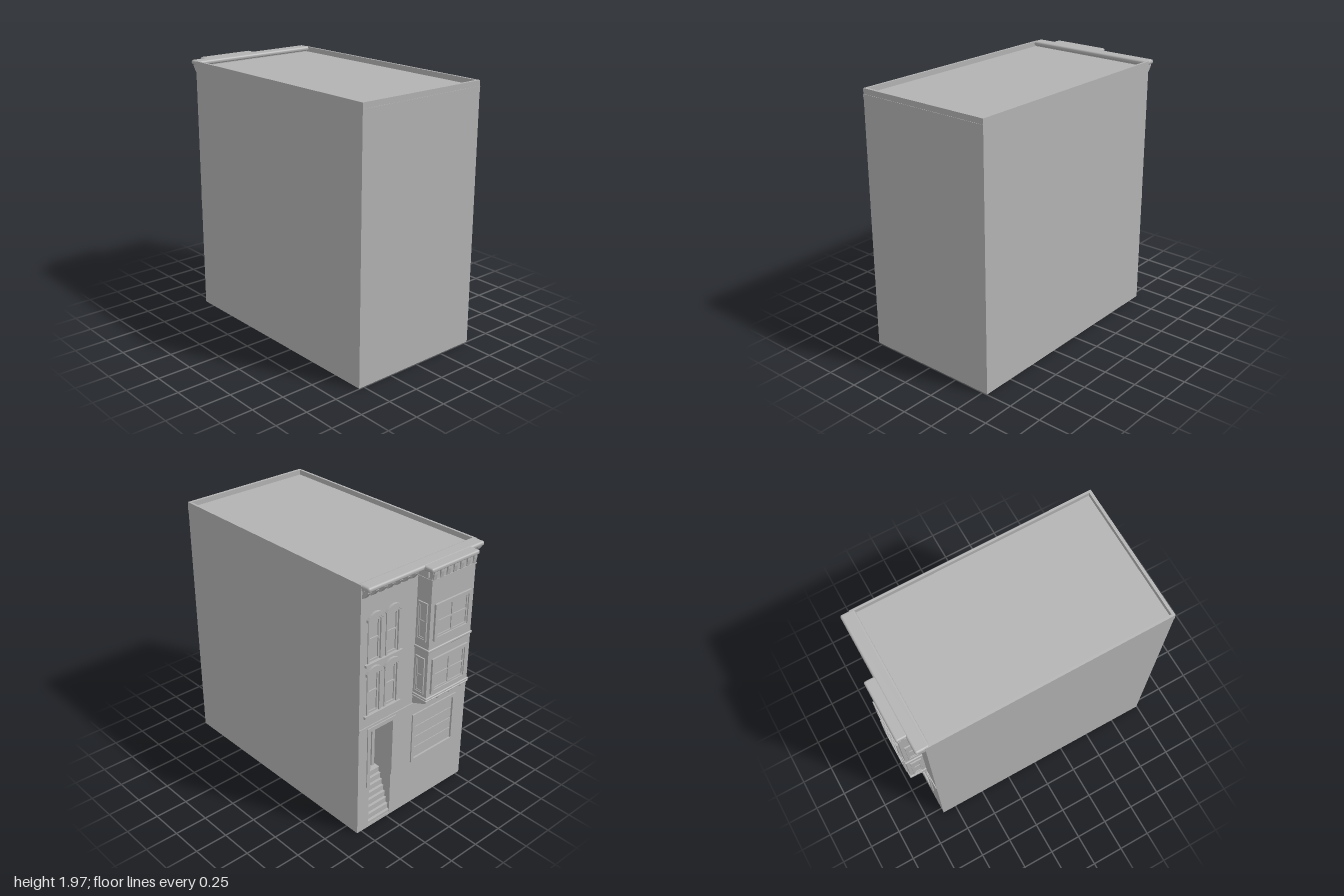
import * as THREE from 'three';
import { RoundedBoxGeometry } from 'three/addons/geometries/RoundedBoxGeometry.js';

const grey = new THREE.MeshStandardMaterial({ color: 0xb2b2b2, side: THREE.DoubleSide });
grey.name = 'stone grey';
const FACE = -0.86;   // street wall plane
const BAY = -0.985;   // bay front plane

export function createModel() {
  const house = new THREE.Group();
  house.name = 'townhouse';

  const add = (name, geo, parent = house) => {
    const m = new THREE.Mesh(geo, grey);
    m.name = name;
    parent.add(m);
    return m;
  };
  // box given by its limits
  const box = (name, x0, x1, y0, y1, z0, z1, parent) =>
    add(name, new THREE.BoxGeometry(x1 - x0, y1 - y0, z1 - z0)
      .translate((x0 + x1) / 2, (y0 + y1) / 2, (z0 + z1) / 2), parent);
  const rounded = (name, x0, x1, y0, y1, z0, z1, r) =>
    add(name, new RoundedBoxGeometry(x1 - x0, y1 - y0, z1 - z0, 4, r)
      .translate((x0 + x1) / 2, (y0 + y1) / 2, (z0 + z1) / 2));
  // outline in x, y; rise > 0 gives a segmental arch at the top
  const outline = (x0, x1, y0, y1, rise = 0) => {
    const s = new THREE.Shape();
    s.moveTo(x0, y0);
    s.lineTo(x1, y0);
    s.lineTo(x1, y1 - rise);
    if (rise) s.quadraticCurveTo((x0 + x1) / 2, y1 + rise, x0, y1 - rise);
    else s.lineTo(x0, y1);
    s.closePath();
    return s;
  };
  const slab = (name, shape, holes, z0, z1, parent) => {
    shape.holes.push(...holes);
    return add(name, new THREE.ExtrudeGeometry(shape,
      { depth: z1 - z0, bevelEnabled: false, curveSegments: 10 }).translate(0, 0, z0), parent);
  };
  // outline in z, y swept along x
  const sweepX = (name, pts, x0, x1, parent) => {
    const s = new THREE.Shape(pts.map(p => new THREE.Vector2(...p)));
    return add(name, new THREE.ExtrudeGeometry(s, { depth: x1 - x0, bevelEnabled: false })
      .rotateY(-Math.PI / 2).translate(x1, 0, 0), parent);
  };

  // shell, open underneath
  for (const s of [-1, 1]) {
    const a = s * 0.54, b = s * 0.536, c = s * 0.522;
    box('sideWall', Math.min(a, b), Math.max(a, b), 0, 1.97, FACE, 0.997);
    box('sideParapet', Math.min(a, c), Math.max(a, c), 1.925, 1.97, FACE, 0.997);
  }
  box('rearWall', -0.54, 0.54, 0, 1.97, 0.993, 0.997);
  box('rearParapet', -0.54, 0.54, 1.925, 1.97, 0.975, 0.997);
  box('rearBand', -0.54, 0.54, 1.89, 1.93, 0.996, 1.0);
  box('roof', -0.538, 0.538, 1.925, 1.932, -0.85, 0.99);

  // street wall with openings
  const pairX = [0.412, 0.25], floors = [0.985, 1.385];
  const openings = [outline(0.222, 0.432, 0.02, 0.835), outline(-0.4, -0.005, 0.395, 0.755)];
  for (const x of pairX) for (const y of floors)
    openings.push(outline(x - 0.05, x + 0.05, y, y + 0.325, 0.025));
  slab('streetWall', outline(-0.54, 0.54, 0, 1.97), openings, FACE, FACE + 0.02);
  box('beltCourse', -0.54, 0.54, 0.872, 0.888, FACE - 0.007, FACE);

  // entrance recess
  const deep = FACE + 0.17;
  const entry = new THREE.Group();
  entry.name = 'entrance';
  house.add(entry);
  box('recessWall', 0.432, 0.436, 0, 0.839, FACE + 0.001, deep, entry);
  box('recessWall', 0.218, 0.222, 0, 0.839, FACE + 0.001, deep, entry);
  box('recessCeiling', 0.222, 0.432, 0.835, 0.839, FACE + 0.001, deep, entry);
  box('recessBack', 0.222, 0.432, 0.36, 0.839, deep - 0.004, deep, entry);
  slab('doorFrame', outline(0.235, 0.42, 0.37, 0.815), [outline(0.26, 0.395, 0.375, 0.79)], deep - 0.016, deep - 0.004, entry);
  slab('doorPanel', outline(0.28, 0.375, 0.41, 0.77), [], deep - 0.01, deep - 0.004, entry);
  // steps up to the door
  const steps = 8, rise = 0.37 / steps, run = 0.13 / steps;
  for (let i = 0; i < steps; i++) {
    const z = FACE + 0.004 + i * run;
    box('riser', 0.222, 0.432, i * rise, (i + 1) * rise, z, z + 0.003, entry);
    box('tread', 0.222, 0.432, (i + 1) * rise - 0.006, (i + 1) * rise, z - 0.004,
      i === steps - 1 ? deep : z + run, entry);
  }
  // door surround
  box('doorJamb', 0.432, 0.46, 0.37, 0.865, FACE - 0.008, FACE, entry);
  box('doorJamb', 0.194, 0.222, 0.37, 0.865, FACE - 0.008, FACE, entry);
  box('doorLintel', 0.222, 0.432, 0.835, 0.865, FACE - 0.008, FACE, entry);

  // garage door
  slab('garageFrame', outline(-0.428, 0.023, 0.37, 0.782), [outline(-0.4, -0.005, 0.395, 0.755)], FACE - 0.01, FACE + 0.015);
  for (let i = 0; i < 4; i++)
    box('garagePanel', -0.4, -0.005, 0.395 + i * 0.09, 0.479 + i * 0.09, FACE + 0.005, FACE + 0.018);
  box('garageBacking', -0.4, -0.005, 0.395, 0.755, FACE + 0.014, FACE + 0.02);

  // arched sash windows in pairs
  for (const y of floors) {
    for (const x of pairX) {
      const w = new THREE.Group();
      w.name = 'archedWindow';
      house.add(w);
      slab('glass', outline(x - 0.05, x + 0.05, y, y + 0.325, 0.025), [], FACE + 0.014, FACE + 0.019, w);
      slab('sash', outline(x - 0.05, x + 0.05, y, y + 0.325, 0.025),
        [outline(x - 0.037, x + 0.037, y + 0.014, y + 0.158), outline(x - 0.037, x + 0.037, y + 0.172, y + 0.308, 0.018)],
        FACE + 0.005, FACE + 0.015, w);
      slab('casing', outline(x - 0.064, x + 0.064, y, y + 0.342, 0.03),
        [outline(x - 0.05, x + 0.05, y, y + 0.325, 0.025)], FACE - 0.007, FACE + 0.002, w);
      // arched hood
      const hood = new THREE.Shape();
      hood.moveTo(x - 0.076, y + 0.305);
      hood.lineTo(x - 0.06, y + 0.305);
      hood.quadraticCurveTo(x, y + 0.372, x + 0.06, y + 0.305);
      hood.lineTo(x + 0.076, y + 0.305);
      hood.lineTo(x + 0.076, y + 0.325);
      hood.quadraticCurveTo(x, y + 0.408, x - 0.076, y + 0.325);
      slab('hood', hood, [], FACE - 0.018, FACE, w);
    }
    box('sill', 0.165, 0.5, y - 0.02, y, FACE - 0.018, FACE);
  }

  // square bay
  const bx0 = -0.39, bx1 = 0.03;
  box('bay', bx0, bx1, 0.95, 1.95, BAY, FACE);
  for (const [y0, y1] of [[0.953, 0.966], [0.968, 0.985], [1.345, 1.365]])
    rounded('bayMoulding', bx0 - 0.01, bx1 + 0.01, y0, y1, BAY - 0.009, FACE, 0.006);
  // sloping brackets beneath the bay
  for (let i = 0; i < 4; i++) {
    const x = bx0 + i * 0.12;
    sweepX('bayBracket', [[FACE, 0.89], [FACE, 0.955], [BAY, 0.955], [BAY, 0.938]], x, x + 0.06);
  }

  // bay windows on the front and both sides
  for (const y of [1.01, 1.425]) {
    const x0 = -0.355, x1 = -0.005, y1 = y + 0.275, xm = (x0 + x1) / 2, ym = y + 0.1375;
    slab('frontCasing', outline(x0, x1, y, y1), [outline(x0 + 0.024, x1 - 0.024, y + 0.024, y1 - 0.024)], BAY - 0.015, BAY);
    const panes = [];
    for (const [a, b] of [[x0 + 0.036, xm - 0.008], [xm + 0.008, x1 - 0.036]])
      for (const [c, d] of [[y + 0.036, ym - 0.006], [ym + 0.006, y1 - 0.036]])
        panes.push(outline(a, b, c, d));
    slab('frontSash', outline(x0 + 0.024, x1 - 0.024, y + 0.024, y1 - 0.024), panes, BAY - 0.007, BAY);
    for (const [s, x] of [[-1, bx0], [1, bx1]]) {
      const g = new THREE.Group();
      g.name = 'sideWindow';
      g.position.set(x, 0, -0.918);
      g.rotation.y = s * Math.PI / 2;
      house.add(g);
      slab('casing', outline(-0.042, 0.042, y - 0.005, y1 + 0.005), [outline(-0.032, 0.032, y + 0.007, y1 - 0.007)], 0, 0.01, g);
      slab('sash', outline(-0.032, 0.032, y + 0.007, y1 - 0.007),
        [outline(-0.022, 0.022, y + 0.018, ym - 0.005), outline(-0.022, 0.022, ym + 0.005, y1 - 0.018)], 0, 0.005, g);
    }
  }

  // roof cornice, stepping out over the bay
  rounded('cornice', -0.54, 0.54, 1.938, 1.972, -0.93, -0.825, 0.015);
  rounded('bayCornice', -0.41, 0.05, 1.938, 1.97, -1.0, -0.85, 0.013);
  box('frieze', -0.535, 0.535, 1.93, 1.945, -0.88, FACE);
  box('bayFrieze', bx0 - 0.004, bx1 + 0.004, 1.87, 1.882, BAY - 0.005, FACE);
  const bracket = (x, z, depth) => sweepX('corniceBracket',
    [[z, 1.875], [z, 1.942], [z - depth, 1.942], [z - depth, 1.925], [z - depth * 0.4, 1.885]], x - 0.015, x + 0.015);
  for (let i = 0; i < 7; i++) bracket(0.515 - i * 0.07, FACE, 0.05);
  for (const x of [-0.515, -0.445]) bracket(x, FACE, 0.05);
  for (let i = 0; i < 7; i++) bracket(bx0 + 0.018 + i * 0.064, BAY, 0.012);
  for (const [a, b] of [[bx0 - 0.014, bx0], [bx1, bx1 + 0.014]])
    box('sideBracket', a, b, 1.895, 1.94, -0.96, -0.94);

  return house;
}
